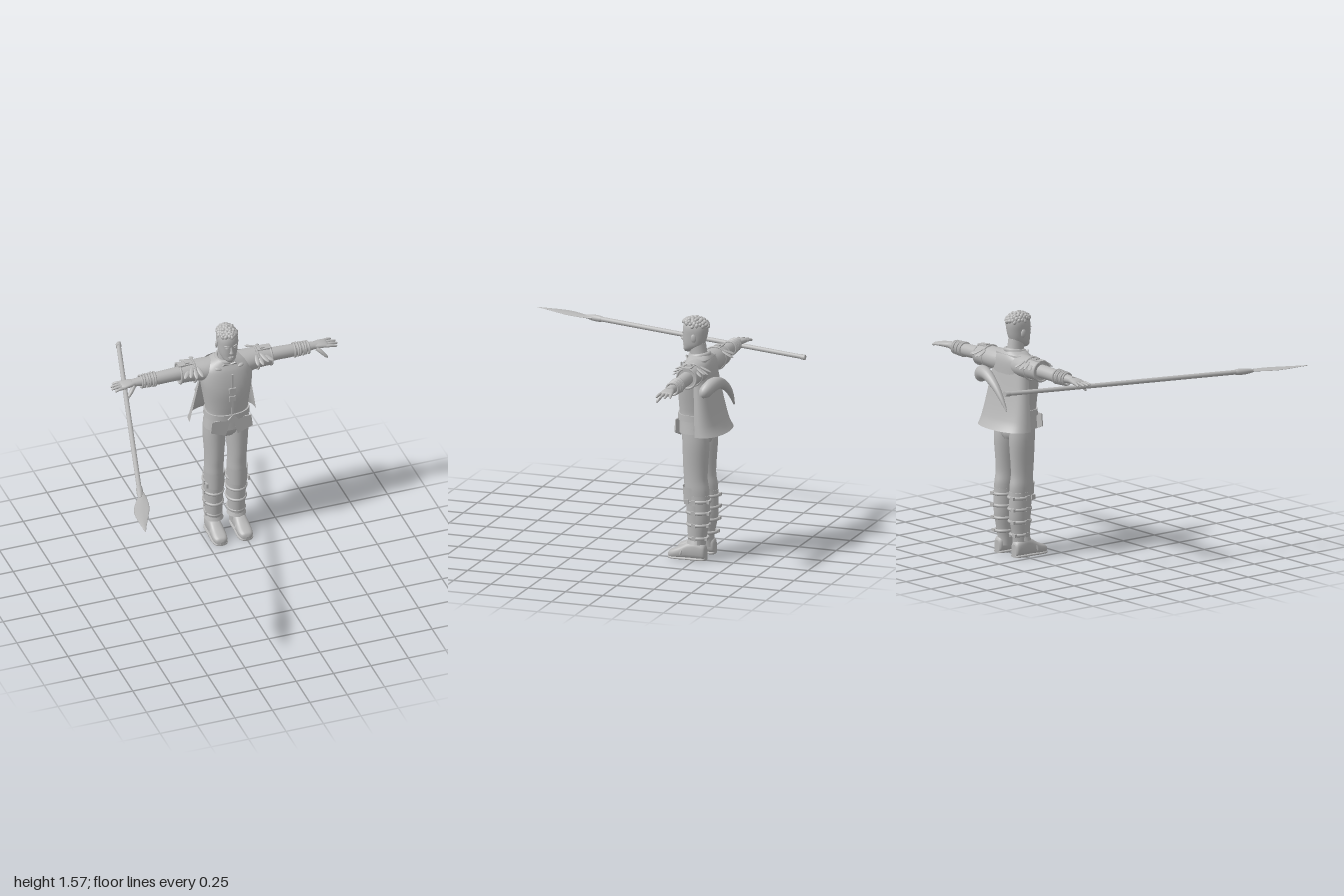
import * as THREE from 'three';

const V = (x, y, z) => new THREE.Vector3(x, y, z);
const Z = V(0, 0, 1), Y = V(0, 1, 0), X = V(1, 0, 0);
const grey = new THREE.MeshStandardMaterial({ color: 0xb8b8b8, side: THREE.DoubleSide });
grey.name = 'clay grey';

function add(parent, name, geo, pos = [0, 0, 0], rot = [0, 0, 0], scale = [1, 1, 1]) {
  const m = new THREE.Mesh(geo, grey);
  m.name = name;
  m.position.set(...pos);
  m.rotation.set(...rot);
  m.scale.set(...scale);
  parent.add(m);
  return m;
}

// Smooth closed form through stations [x, y, z, radiusA, radiusB]; ref sets the ring's orientation.
function loft(st, { ref = Z, dir = null, n = 20, sub = 4, p = 2 } = {}) {
  const rows = [], pos = [], idx = [];
  for (let i = 0; i < st.length - 1; i++) {
    const a = st[Math.max(i - 1, 0)], b = st[i], c = st[i + 1], d = st[Math.min(i + 2, st.length - 1)];
    for (let k = 0; k < sub; k++) {
      const t = k / sub;
      rows.push(b.map((_, j) => {
        const m0 = (c[j] - a[j]) / 2, m1 = (d[j] - b[j]) / 2, t2 = t * t, t3 = t2 * t;
        return (2 * t3 - 3 * t2 + 1) * b[j] + (t3 - 2 * t2 + t) * m0 + (3 * t2 - 2 * t3) * c[j] + (t3 - t2) * m1;
      }));
    }
  }
  rows.push(st[st.length - 1]);
  const mid = r => V(r[0], r[1], r[2]);
  const pow = v => Math.sign(v) * Math.abs(v) ** (2 / p);
  const ring = i => {
    const t = dir || mid(rows[Math.min(i + 1, rows.length - 1)]).sub(mid(rows[Math.max(i - 1, 0)])).normalize();
    const u = ref.clone().cross(t).normalize(), v = t.clone().cross(u), r = rows[i];
    for (let j = 0; j < n; j++) {
      const a = j / n * Math.PI * 2;
      const q = mid(r).addScaledVector(u, r[3] * pow(Math.cos(a))).addScaledVector(v, r[4] * pow(Math.sin(a)));
      pos.push(q.x, q.y, q.z);
    }
  };
  rows.forEach((_, i) => ring(i));
  for (let i = 0; i < rows.length - 1; i++) for (let j = 0; j < n; j++) {
    const a = i * n + j, b = i * n + (j + 1) % n;
    idx.push(a, b, a + n, b, b + n, a + n);
  }
  // End caps
  for (const i of [0, rows.length - 1]) {
    const s = pos.length / 3;
    ring(i);
    pos.push(...rows[i].slice(0, 3));
    for (let j = 0; j < n; j++) {
      const a = s + j, b = s + (j + 1) % n;
      if (i) idx.push(a, b, s + n); else idx.push(b, a, s + n);
    }
  }
  const g = new THREE.BufferGeometry();
  g.setAttribute('position', new THREE.Float32BufferAttribute(pos, 3));
  g.setIndex(idx);
  g.computeVertexNormals();
  return g;
}

const ball = new THREE.SphereGeometry(1, 14, 10);
const box = new THREE.BoxGeometry(1, 1, 1);

function buildHead(g) {
  add(g, 'neck', loft([[0, 1.27, -.495, .06, .06], [0, 1.32, -.487, .05, .055], [0, 1.39, -.475, .048, .055]], { dir: Y }));
  add(g, 'head', loft([[0, 1.328, -.415, .016, .02], [0, 1.345, -.43, .038, .045], [0, 1.37, -.45, .053, .064],
    [0, 1.40, -.457, .06, .073], [0, 1.44, -.462, .064, .079], [0, 1.48, -.465, .066, .082], [0, 1.51, -.467, .06, .076],
    [0, 1.53, -.467, .045, .058], [0, 1.54, -.467, .012, .016]], { dir: Y, n: 28, p: 2.2 }));
  add(g, 'nose', loft([[0, 1.445, -.386, .006, .006], [0, 1.42, -.38, .008, .01], [0, 1.405, -.378, .014, .012], [0, 1.398, -.383, .006, .006]], { dir: V(0, -1, 0), n: 12 }));
  add(g, 'mouth', ball, [0, 1.374, -.389], [0, 0, 0], [.02, .004, .007]);
  add(g, 'lowerLip', ball, [0, 1.366, -.389], [0, 0, 0], [.016, .005, .007]);
  for (const s of [-1, 1]) {
    add(g, 'eye', ball, [s * .026, 1.438, -.391], [0, s * .3, 0], [.012, .005, .006]);
    add(g, 'brow', ball, [s * .027, 1.455, -.389], [0, s * .3, s * .1], [.018, .005, .007]);
    add(g, 'ear', ball, [s * .067, 1.43, -.475], [.15, s * .3, 0], [.008, .026, .017]);
  }
  // Curled locks over the crown
  for (let i = 0; i < 58; i++) {
    const a = i * 2.39996, h = 1 - i / 58 * .8, r = Math.sqrt(1 - h * h);
    const front = Math.max(0, Math.sin(a)) * (1 - h) * .02;
    add(g, 'hairCurl', ball, [r * Math.cos(a) * .058, 1.488 + h * .06 + front, -.468 + r * Math.sin(a) * .08],
      [a, 0, a * 1.7], [.013, .018, .014]);
  }
}

function buildTorso(g) {
  add(g, 'tunic', loft([[0, .825, -.478, .15, .104], [0, .93, -.475, .136, .1], [0, 1, -.478, .142, .108], [0, 1.1, -.48, .158, .113],
    [0, 1.18, -.486, .168, .108], [0, 1.25, -.495, .16, .097], [0, 1.29, -.5, .125, .08], [0, 1.32, -.497, .062, .062]], { dir: Y, n: 36, p: 2.35 }));
  add(g, 'collar', new THREE.TorusGeometry(.058, .012, 8, 28), [0, 1.312, -.492], [Math.PI / 2 + .15, 0, 0], [1, 1.05, 1.3]);
  add(g, 'belt', loft([[0, .905, -.475, .147, .11], [0, .945, -.475, .144, .11]], { dir: Y, n: 36, sub: 1, p: 2.35 }));
  add(g, 'beltBuckle', box, [0, .915, -.363], [0, 0, Math.PI / 4], [.045, .045, .012]);
  add(g, 'pelvis', loft([[0, .75, -.495, .06, .07], [0, .79, -.493, .13, .085], [0, .87, -.485, .14, .09]], { dir: Y }));
  add(g, 'frontPlacket', box, [0, 1.1, -.369], [0, 0, 0], [.012, .3, .008]);
  for (const y of [1.13, 1.07]) add(g, 'fastener', box, [0, y, -.366], [0, 0, 0], [.045, .035, .012]);
  // Split front skirt panels
  for (const s of [-1, 1]) {
    const flap = new THREE.Shape([[.008, .91], [.13, .91], [.14, .83], [.04, .79]].map(([x, y]) => new THREE.Vector2(s * x, y)));
    const geo = new THREE.ExtrudeGeometry(flap, { depth: .008, bevelEnabled: false });
    add(g, 'skirtPanel', geo, [0, 0, -.383], [0, 0, 0]);
    add(g, 'collarClasp', ball, [s * .075, 1.275, -.42], [.6, s * .3, 0], [.022, .009, .012]);
    add(g, 'collarPoint', box, [s * .028, 1.292, -.423], [.6, 0, s * .5], [.035, .03, .008]);
  }
  // Short cape, bowed round the back and widening to the hem
  const cape = new THREE.PlaneGeometry(1, 1, 30, 14), P = cape.attributes.position;
  const mix = THREE.MathUtils.lerp;
  for (let i = 0; i < P.count; i++) {
    const a = P.getX(i) * Math.PI, v = P.getY(i) + .5;
    const edge = mix(-.54, -.5, v), back = mix(-.69, -.575, v ** .6);
    P.setXYZ(i, mix(.222, .14, v) * Math.sin(a), .83 + .47 * v, edge + (back - edge) * Math.max(0, Math.cos(a)) ** .7);
  }
  cape.computeVertexNormals();
  add(g, 'cape', cape);
  // Curved horn slung across the back
  add(g, 'backHorn', loft([[.222, 1.10, -.585, .015, .015], [.205, 1.125, -.6, .042, .038], [.15, 1.163, -.63, .045, .042], [.07, 1.16, -.652, .036, .035],
    [-.02, 1.11, -.665, .026, .026], [-.09, 1.04, -.67, .016, .016], [-.14, .97, -.67, .005, .005]], { n: 18 }));
}

function buildArm(g, s) {
  const arm = new THREE.Group();
  arm.name = s > 0 ? 'leftArm' : 'rightArm';
  g.add(arm);
  const L = (st, o) => loft(st.map(([x, ...r]) => [s * x, ...r]), o);
  add(arm, 'sleeve', L([[.05, 1.235, -.508, .072, .075], [.13, 1.235, -.512, .071, .08], [.22, 1.237, -.518, .066, .072], [.303, 1.235, -.518, .063, .068]], { dir: V(s, 0, 0), n: 24 }));
  add(arm, 'sleeveCuff', new THREE.TorusGeometry(.064, .007, 8, 28), [s * .302, 1.235, -.518], [0, Math.PI / 2, 0]);
  add(arm, 'arm', L([[.27, 1.235, -.518, .044, .044], [.36, 1.235, -.518, .042, .043], [.46, 1.232, -.518, .04, .04], [.56, 1.235, -.518, .028, .031], [.62, 1.236, -.518, .022, .028]], { dir: V(s, 0, 0) }));
  for (let i = 0; i < 6; i++)
    add(arm, 'bracerRing', new THREE.TorusGeometry(.043 - i * .001, .007, 8, 24), [s * (.466 + i * .018), 1.233, -.518], [0, Math.PI / 2 + (i % 2 - .5) * .12, 0]);
  // Hand with spread fingers
  add(arm, 'palm', L([[.595, 1.236, -.518, .019, .027], [.635, 1.236, -.52, .018, .038], [.675, 1.233, -.521, .014, .042], [.69, 1.231, -.521, .008, .037]], { dir: V(s, 0, 0), p: 2.4 }));
  [.055, .068, .065, .045].forEach((len, i) => {
    const z = -.488 - i * .022, end = z + (1.2 - i) * .007;
    add(arm, 'finger', L([[.67, 1.232, z, .01, .011], [.68 + len * .5, 1.231, (z + end) / 2, .009, .0095], [.68 + len, 1.225, end, .007, .007], [.687 + len, 1.223, end, .002, .002]], { n: 10 }));
  });
  add(arm, 'thumb', L([[.61, 1.225, -.495, .014, .014], [.635, 1.205, -.473, .013, .013], [.66, 1.178, -.458, .009, .009], [.668, 1.167, -.455, .003, .003]], { n: 10 }));
  // Shoulder plate, strap and fringe of leaves
  add(arm, 'shoulderPlate', box, [s * .255, 1.298, -.518], [0, 0, 0], [.11, .012, .05]);
  add(arm, 'shoulderStud', box, [s * .25, 1.306, -.518], [0, 0, 0], [.03, .01, .03]);
  add(arm, 'shoulderStrap', new THREE.TorusGeometry(.073, .006, 6, 28), [s * .21, 1.236, -.516], [0, Math.PI / 2, 0]);
  for (const f of [-1, 1]) for (let i = 0; i < 4; i++)
    add(arm, 'shoulderLeaf', ball, [s * (.19 + i * .027), 1.273 - (i % 2) * .008, -.518 + f * (.085 - i * .006)], [f * .45, f * s * (i - .5) * .28, 0], [.014, .006, .042]);
}

function buildLeg(g, s) {
  const leg = new THREE.Group();
  leg.name = s > 0 ? 'leftLeg' : 'rightLeg';
  leg.position.x = s * .076;
  g.add(leg);
  add(leg, 'trouserLeg', loft([[0, .86, -.488, .068, .084], [0, .75, -.495, .071, .087], [0, .6, -.493, .061, .08], [0, .52, -.495, .059, .076], [0, .45, -.502, .06, .08], [0, .36, -.51, .055, .07]], { dir: V(0, -1, 0), n: 24 }));
  add(leg, 'boot', loft([[0, .42, -.508, .06, .076], [0, .34, -.513, .06, .073], [0, .25, -.513, .058, .071], [0, .16, -.507, .05, .06], [0, .1, -.505, .046, .053], [0, .05, -.51, .044, .05]], { dir: V(0, -1, 0), n: 24 }));
  const plate = (name, rt, rb, h, y, z, arc, depth) =>
    add(leg, name, new THREE.CylinderGeometry(rt, rb, h, 20, 3, true, -arc, arc * 2), [0, y, z], [0, 0, 0], [1, 1, depth]);
  plate('kneeGuard', .068, .062, .115, .417, -.495, 1.5, 1.25);
  plate('shinGuard', .063, .053, .24, .24, -.505, 1.7, 1.12);
  plate('ankleFlare', .053, .062, .025, .118, -.502, 1.9, 1.05);
  add(leg, 'kneeStud', box, [s * .064, .385, -.455], [0, 0, 0], [.012, .03, .03]);
  [.385, .31, .23, .145].forEach((y, i) => {
    const r = [.063, .062, .06, .052][i];
    add(leg, 'bootStrap', new THREE.TorusGeometry(r, .008, 8, 28), [0, y, -.513], [Math.PI / 2, 0, 0], [1, 1.2, 1.3]);
    add(leg, 'strapBuckle', box, [s * r, y, -.5], [0, 0, 0], [.014, .026, .028]);
    add(leg, 'strapEnd', box, [s * .025, y, -.513 - r * 1.22], [0, 0, 0], [.03, .02, .016]);
  });
  // Shoe with a flat sole and heel
  const foot = [[.022, .08, -.567], [.037, .1, -.553], [.043, .12, -.5], [.043, .11, -.45], [.047, .08, -.4], [.046, .06, -.355], [.034, .046, -.326], [.01, .025, -.316]];
  const toRing = ([w, h, z]) => [s * .009, h / 2 + .003, z, w, h / 2];
  add(leg, 'shoe', loft(foot.map(toRing), { ref: Y, dir: Z, p: 2.6 }));
  add(leg, 'sole', loft(foot.map(([w, , z]) => [s * .009, .008, z, w + .003, .008]), { ref: Y, dir: Z, p: 4 }));
  add(leg, 'shoeStrap', new THREE.TorusGeometry(.046, .007, 8, 20, Math.PI), [s * .009, .035, -.41], [-.25, 0, 0], [1, 1.15, 1]);
}

function buildSpear(root) {
  const spear = new THREE.Group();
  spear.name = 'spear';
  root.add(spear);
  const at = (z, a, b, dx = 0) => [-.64 - z * .275 + dx, 1.197 - z * .006, z, a, b];
  const o = { ref: Y, dir: Z, n: 16 };
  add(spear, 'shaft', loft([at(-.99, .015, .014), at(0, .016, .015), at(.56, .016, .015)], o));
  add(spear, 'buttCap', loft([at(-1, .018, .017), at(-.97, .018, .017)], { ...o, sub: 1 }));
  add(spear, 'socket', loft([at(.52, .016, .016), at(.54, .021, .02), at(.59, .021, .019), at(.64, .012, .01)], o));
  add(spear, 'blade', loft([at(.59, .012, .009, .015), at(.66, .036, .007, .006), at(.75, .052, .006, -.003), at(.83, .043, .005, -.006),
    at(.92, .021, .004, -.004), at(1, .003, .002)], { ...o, p: 1.5 }));
}

export function createModel() {
  const root = new THREE.Group();
  root.name = 'spearman';
  const figure = new THREE.Group();
  figure.name = 'figure';
  figure.position.x = .165;
  root.add(figure);
  buildHead(figure);
  buildTorso(figure);
  for (const s of [-1, 1]) {
    buildArm(figure, s);
    buildLeg(figure, s);
  }
  buildSpear(root);
  return root;
}
